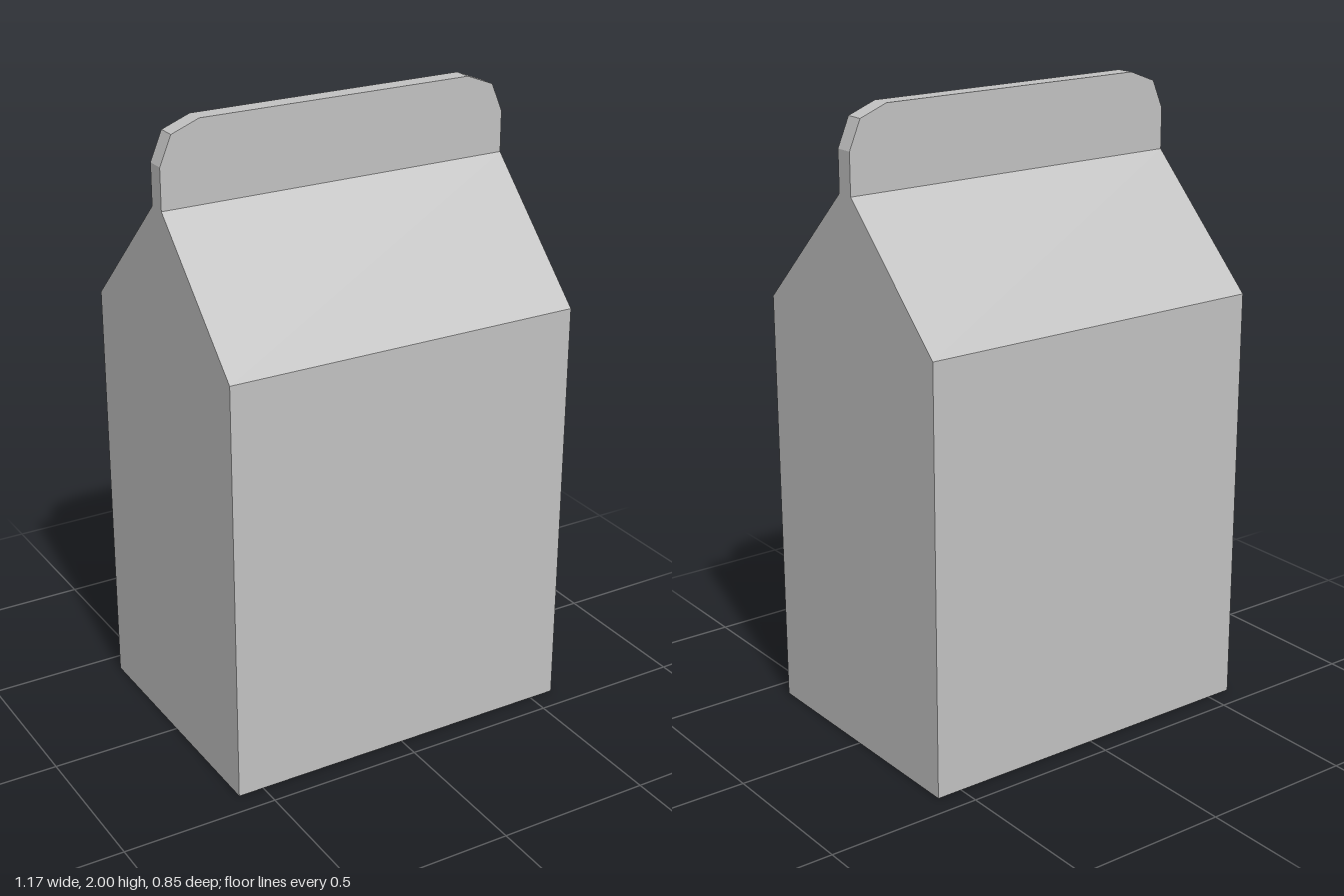
import * as THREE from 'three';

const HALF_WIDTH = 0.583;
const HALF_DEPTH = 0.427;
const FIN_HALF_DEPTH = 0.03;
const SHOULDER_Y = 1.355;
const RIDGE_Y = 1.745;

// Extrudes a left-right symmetric outline, given by its right half from bottom to top.
function symmetricExtrude(half, depth) {
  const mirrored = half.map(([u, v]) => [-u, v]).reverse();
  const shape = new THREE.Shape([...half, ...mirrored].map(([u, v]) => new THREE.Vector2(u, v)));
  const geometry = new THREE.ExtrudeGeometry(shape, { depth, bevelEnabled: false });
  return geometry.translate(0, 0, -depth / 2);
}

export function createModel() {
  const group = new THREE.Group();
  group.name = 'carton';

  const card = new THREE.MeshStandardMaterial({ color: 0xc2c2c2 });
  card.name = 'grey card';

  // Box body with gabled roof, extruded across the width
  const bodyGeometry = symmetricExtrude([
    [HALF_DEPTH, 0],
    [HALF_DEPTH, SHOULDER_Y],
    [FIN_HALF_DEPTH, RIDGE_Y],
  ], HALF_WIDTH * 2).rotateY(Math.PI / 2);
  const body = new THREE.Mesh(bodyGeometry, card);
  body.name = 'gabledBody';

  // Upright sealing fin with clipped corners
  const finGeometry = symmetricExtrude([
    [HALF_WIDTH, RIDGE_Y],
    [HALF_WIDTH, 1.875],
    [0.545, 1.965],
    [0.455, 2],
  ], FIN_HALF_DEPTH * 2);
  const fin = new THREE.Mesh(finGeometry, card);
  fin.name = 'topFin';

  group.add(body, fin);
  return group;
}
